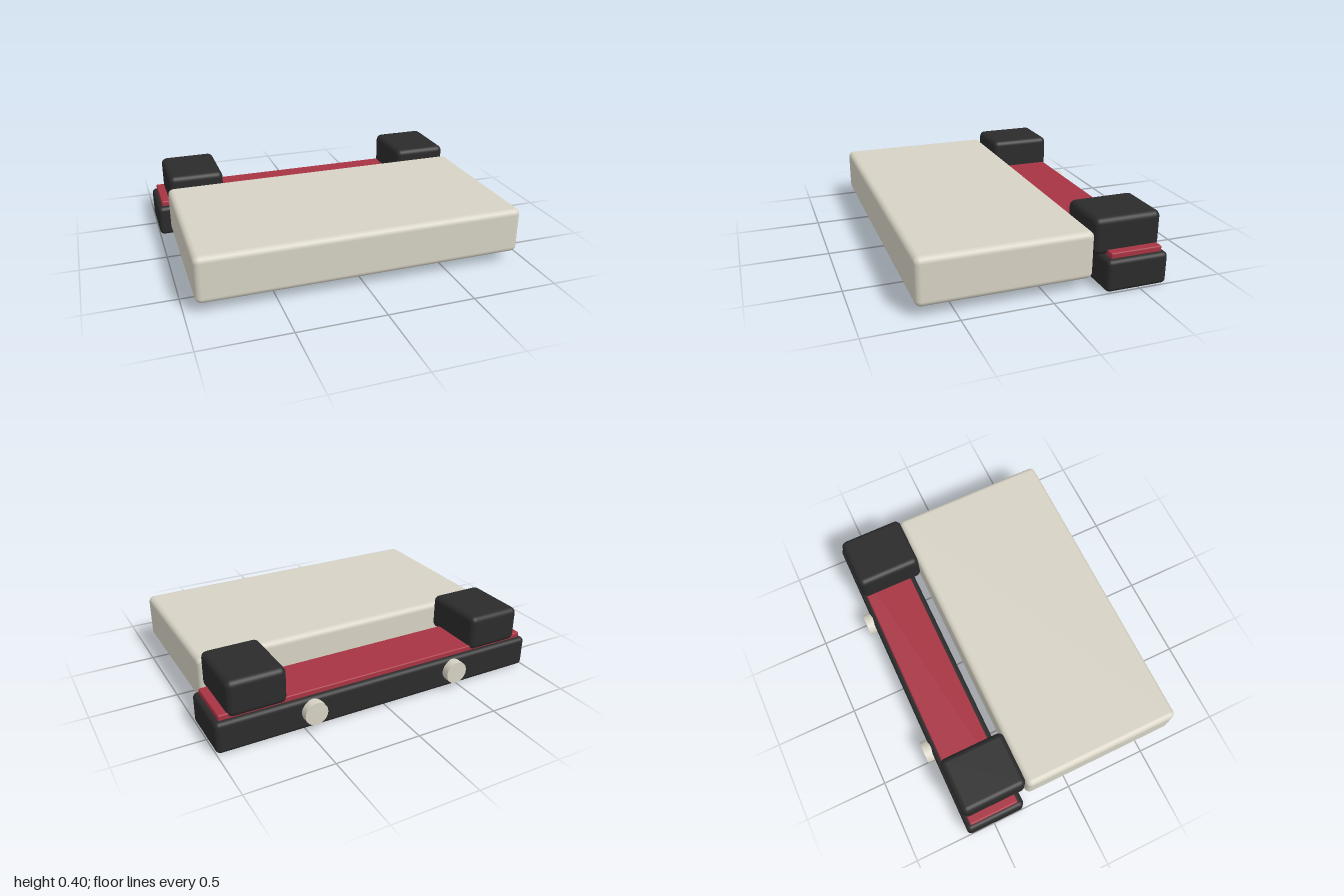
import * as THREE from 'three';
import { RoundedBoxGeometry } from 'three/addons/geometries/RoundedBoxGeometry.js';

const material = (name, color) => {
  const m = new THREE.MeshStandardMaterial({ color });
  m.name = name;
  return m;
};

export function createModel() {
  const cream = material('cream', 0xd6d2c4);
  const charcoal = material('charcoal', 0x2b2b2b);
  const red = material('red', 0xa83443);

  const model = new THREE.Group();
  model.name = 'model';

  // Rounded box given by its extents along each axis
  const block = (name, mat, [x0, x1], [y0, y1], [z0, z1], radius) => {
    const geometry = new RoundedBoxGeometry(x1 - x0, y1 - y0, z1 - z0, 4, radius);
    const mesh = new THREE.Mesh(geometry, mat);
    mesh.position.set((x0 + x1) / 2, (y0 + y1) / 2, (z0 + z1) / 2);
    mesh.name = name;
    model.add(mesh);
  };

  // Large front slab, rear rail and the red strip lying on the rail
  block('slab', cream, [-0.938, 0.938], [0.065, 0.335], [-0.256, 0.709], 0.034);
  block('rail', charcoal, [-1, 1], [0, 0.185], [-0.664, -0.303], 0.027);
  block('strip', red, [-0.972, 0.972], [0.18, 0.216], [-0.635, -0.334], 0.008);

  // Clamp blocks over the strip and round knobs behind the rail
  for (const [side, s] of [['left', 1], ['right', -1]]) {
    const x = s * 0.757;
    block(side + 'Clamp', charcoal, [x - 0.167, x + 0.167], [0.185, 0.396], [-0.65, -0.257], 0.035);

    const knob = new THREE.Mesh(new THREE.CylinderGeometry(0.067, 0.067, 0.07, 24), cream);
    knob.rotation.x = Math.PI / 2;
    knob.position.set(s * 0.455, 0.109, -0.674);
    knob.name = side + 'Knob';
    model.add(knob);
  }

  return model;
}
